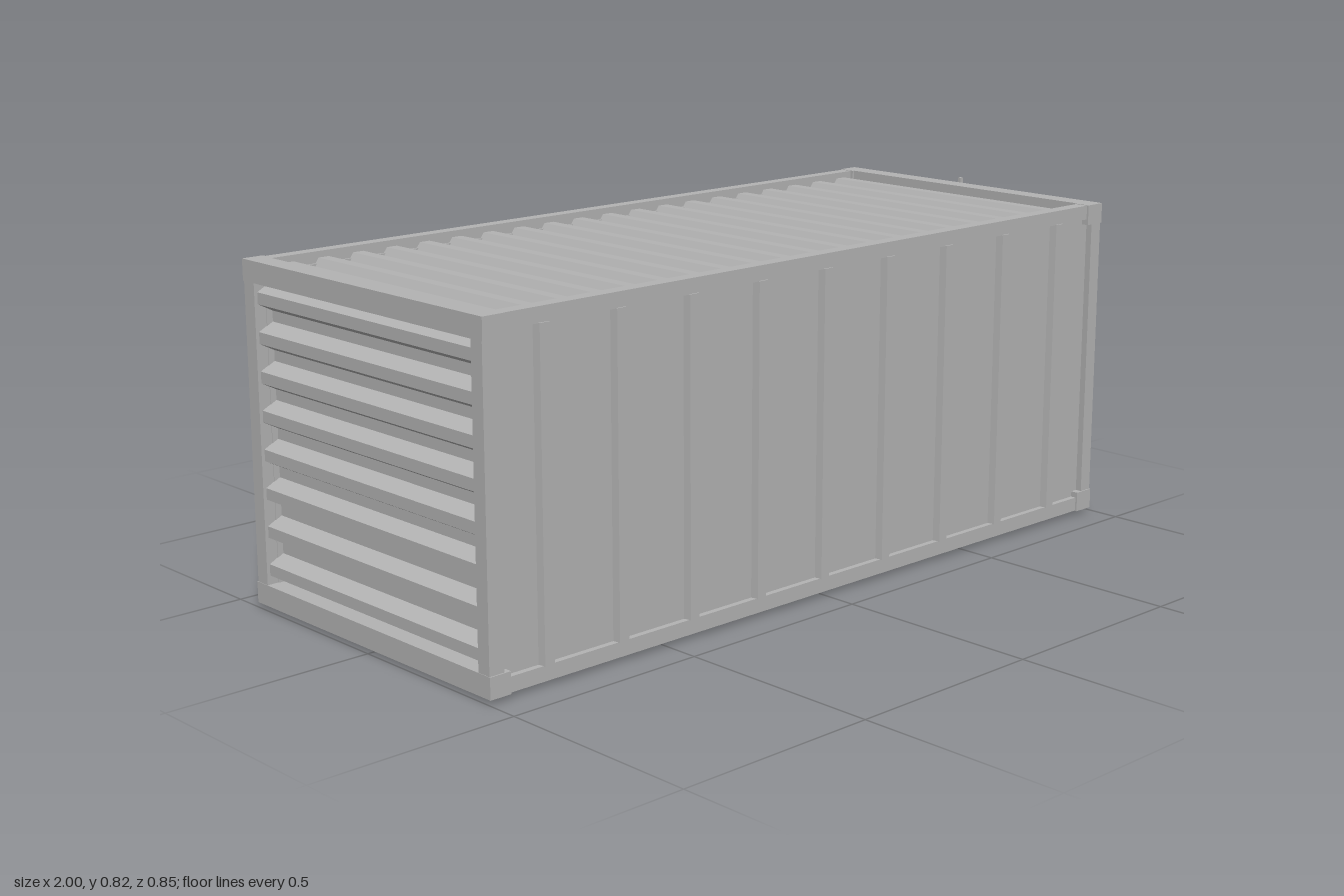
import * as THREE from 'three';

export function createModel() {
  const group = new THREE.Group();
  group.name = 'cargoContainer';
  const grey = new THREE.MeshStandardMaterial({ color: 0xb3b3b3, flatShading: true });
  grey.name = 'containerGrey';

  const add = (name, geometry) => {
    const mesh = new THREE.Mesh(geometry, grey);
    mesh.name = name;
    group.add(mesh);
    return mesh;
  };
  // Box given by its lower and upper limits on each axis
  const box = (name, x0, x1, y0, y1, z0, z1) => {
    const mesh = add(name, new THREE.BoxGeometry(x1 - x0, y1 - y0, z1 - z0));
    mesh.position.set((x0 + x1) / 2, (y0 + y1) / 2, (z0 + z1) / 2);
    return mesh;
  };
  // Trapezoid corrugation along x, ridges along z, centred on the origin
  const corrugated = (length, count, depth, width) => {
    const pitch = length / count;
    const shape = new THREE.Shape();
    shape.moveTo(-length / 2, -0.008);
    shape.lineTo(length / 2, -0.008);
    for (let i = count - 1; i >= 0; i--) {
      const x = -length / 2 + i * pitch;
      shape.lineTo(x + pitch * 0.86, 0);
      shape.lineTo(x + pitch * 0.65, depth);
      shape.lineTo(x + pitch * 0.35, depth);
      shape.lineTo(x + pitch * 0.14, 0);
    }
    const geometry = new THREE.ExtrudeGeometry(shape, { depth: width, bevelEnabled: false });
    return geometry.translate(0, 0, -width / 2);
  };

  const X0 = -1, X1 = 0.988, Y0 = 0.012, Y1 = 0.812, midY = 0.412;

  // Corner castings
  for (const [a, b] of [[X0, X0 + 0.055], [X1 - 0.055, X1]])
    for (const [c, d] of [[Y0, Y0 + 0.05], [Y1 - 0.05, Y1]])
      for (const [e, f] of [[-0.425, -0.38], [0.38, 0.425]])
        box('cornerCasting', a, b, c, d, e, f);

  // Long rails, upright posts and cross bars of the frame
  for (const [c, d] of [[Y0 + 0.001, Y0 + 0.036], [Y1 - 0.036, Y1 - 0.001]]) {
    box('backRail', X0 + 0.02, X1 - 0.02, c, d, -0.42, -0.388);
    box('frontRail', X0 + 0.02, X1 - 0.02, c, d, 0.386, 0.42);
  }
  for (const [a, b] of [[X0 + 0.001, X0 + 0.04], [X1 - 0.036, X1 - 0.001]])
    for (const [e, f] of [[-0.422, -0.384], [0.386, 0.422]])
      box('cornerPost', a, b, Y0 + 0.02, Y1 - 0.02, e, f);
  for (const [c, d] of [[Y0, Y0 + 0.05], [Y1 - 0.05, Y1]]) {
    box('doorCrossBar', X1 - 0.05, X1, c, d, -0.4, 0.4);
    box('endCrossBar', X0, X0 + 0.05, c, d, -0.4, 0.4);
  }

  // Corrugated top, bottom and closed end
  const longPanel = corrugated(1.89, 20, 0.028, 0.78);
  add('topPanel', longPanel).position.set(-0.006, 0.768, 0);
  const bottom = add('bottomPanel', longPanel);
  bottom.position.set(-0.006, 0.056, 0);
  bottom.rotation.x = Math.PI;
  const end = add('endPanel', corrugated(0.72, 8, 0.036, 0.78));
  end.position.set(-0.955, midY, 0);
  end.rotation.z = Math.PI / 2;

  // Flat front and back panels
  box('backPanel', X0 + 0.03, X1 - 0.03, 0.04, 0.784, -0.39, -0.382);
  box('frontPanel', X0 + 0.03, X1 - 0.03, 0.04, 0.784, 0.396, 0.406);

  // Raised ribs across the front panel
  const ribShape = new THREE.Shape();
  ribShape.moveTo(-0.017, 0);
  ribShape.lineTo(0.017, 0);
  ribShape.lineTo(0.013, 0.02);
  ribShape.lineTo(-0.013, 0.02);
  const ribGeometry = new THREE.ExtrudeGeometry(ribShape, { depth: 0.73, bevelEnabled: false });
  for (let i = 0; i < 9; i++) {
    const rib = add('frontRib', ribGeometry);
    rib.position.set(-0.84 + i * 0.2075, 0.777, 0.404);
    rib.rotation.x = Math.PI / 2;
  }

  // Doors, mirrored about the middle height
  box('doorBacking', 0.945, 0.955, 0.05, 0.775, -0.39, 0.39);
  box('doorSeal', 0.95, 0.968, 0.409, 0.416, -0.37, 0.388);
  const rodGeometry = new THREE.CylinderGeometry(0.005, 0.005, 0.788, 8).rotateX(Math.PI / 2);
  for (const s of [1, -1]) {
    const part = (name, x0, x1, d0, d1, z0, z1) =>
      box(name, x0, x1, midY + Math.min(s * d0, s * d1), midY + Math.max(s * d0, s * d1), z0, z1);
    part('door', 0.95, 0.978, 0.008, 0.349, -0.379, 0.38);

    // Locking rods with brackets and handles
    for (const d of [0.047, 0.348]) {
      add('lockingRod', rodGeometry).position.set(0.986, midY + s * d, 0);
      for (const z of [-0.367, 0.368])
        part('rodBracket', 0.976, 0.993, d - 0.011, d + 0.011, z - 0.008, z + 0.008);
      part('rodHandle', 0.99, 1, d - 0.009, d + 0.064, -0.052, -0.042);
    }
    // Hinge knuckles
    for (const d of [0.04, 0.14, 0.235, 0.328])
      part('hinge', 0.955, 0.981, d - 0.012, d + 0.012, 0.379, 0.387);
  }
  return group;
}
